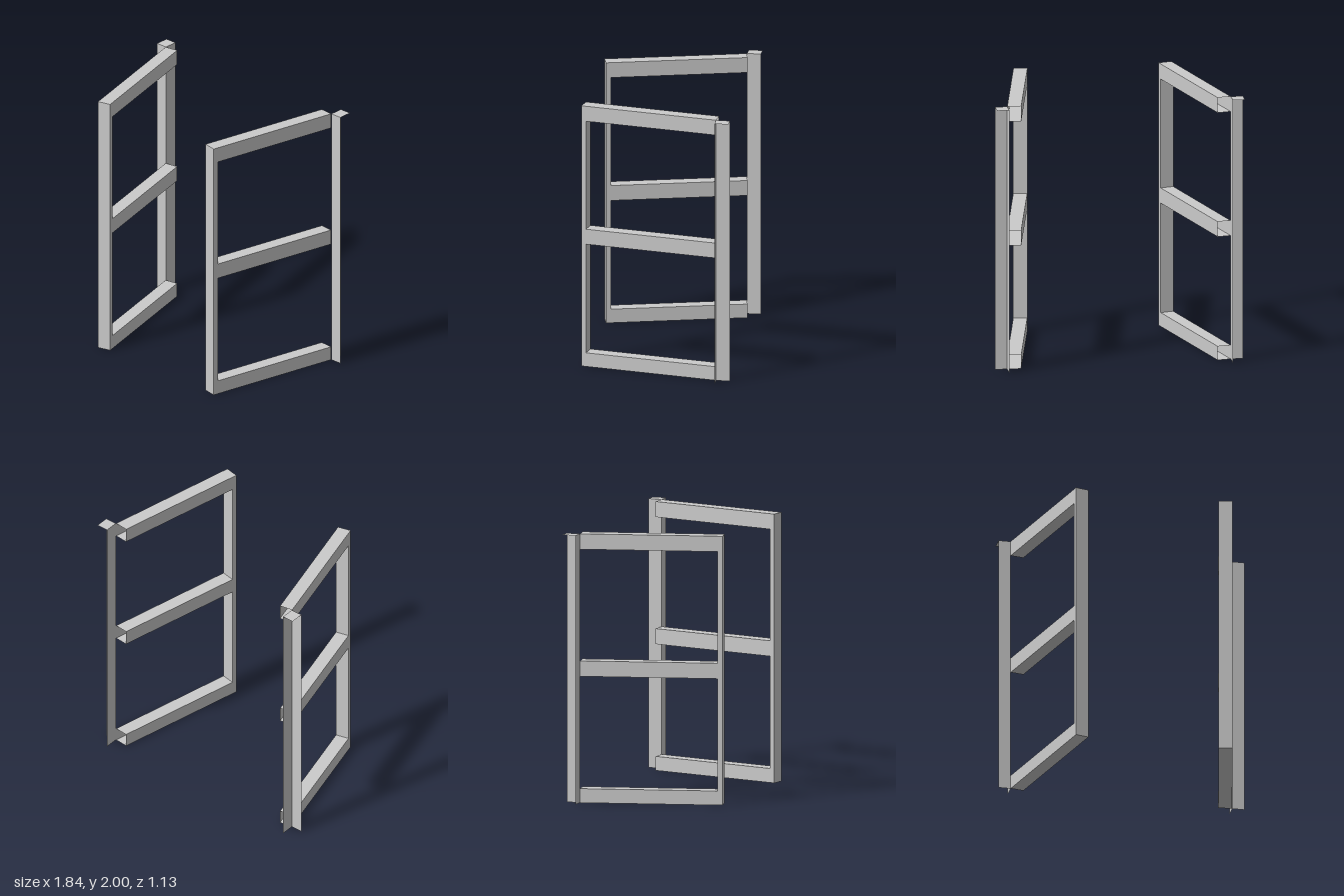
import * as THREE from 'three';

const material = new THREE.MeshStandardMaterial({ color: 0xcccccc, flatShading: true, side: THREE.DoubleSide });

// Upright prism over a plan quad [x, z]; sides names the edges that get a wall.
function prism(name, plan, y0, y1, sides, bottom = true) {
  // keep a consistent turn so that the walls face outward
  let area = 0;
  plan.forEach(([x, z], i) => {
    const [x2, z2] = plan[(i + 1) % 4];
    area += x * z2 - x2 * z;
  });
  const flip = area > 0;
  const pos = [];
  const quad = (a, b, c, d) => {
    const q = flip ? [a, c, b, a, d, c] : [a, b, c, a, c, d];
    q.forEach((p) => pos.push(...p));
  };
  const lo = plan.map(([x, z]) => [x, y0, z]);
  const hi = plan.map(([x, z]) => [x, y1, z]);
  sides.forEach((i) => {
    const j = (i + 1) % 4;
    quad(lo[i], lo[j], hi[j], hi[i]);
  });
  quad(hi[0], hi[1], hi[2], hi[3]);
  if (bottom) quad(lo[3], lo[2], lo[1], lo[0]);
  const geometry = new THREE.BufferGeometry();
  geometry.setAttribute('position', new THREE.Float32BufferAttribute(pos, 3));
  geometry.computeVertexNormals();
  const mesh = new THREE.Mesh(geometry, material);
  mesh.name = name;
  return mesh;
}

const mix = (a, b, t) => [a[0] + (b[0] - a[0]) * t, a[1] + (b[1] - a[1]) * t];

// One leaf: plan corners run back outer, back inner, front inner, front outer.
function leaf(name, [backOut, backIn, frontIn, frontOut], side) {
  const group = new THREE.Group();
  group.name = name;
  const t = 0.035;
  const stileIn = mix(frontIn, backIn, t);
  const stileOut = mix(frontOut, backOut, t);

  // thin upright at the free end
  group.add(prism('frontStile', [stileOut, stileIn, frontIn, frontOut], 0, 2, [0, 1, 2, 3]));

  // hollow rails, open at the hinge end
  [['bottomRail', 0, 0.105], ['middleRail', 0.94, 1.055], ['topRail', 1.885, 2]].forEach(([n, y0, y1]) =>
    group.add(prism(n, [backOut, backIn, stileIn, stileOut], y0, y1, [1, 3])));

  // hinge post: only its inner wall, front wall and cap
  const xi = 0.832 * side, xo = 0.922 * side, zb = -0.57, zf = -0.467;
  group.add(prism('hingePost', [[xi, zb], [xi, zf], [xo, zf], [xo, zb]], 0, 2, [0, 1], false));
  return group;
}

export function createModel() {
  const model = new THREE.Group();
  model.name = 'openDoubleGate';
  model.add(
    leaf('leftLeaf', [[0.83, -0.465], [0.728, -0.475], [0.511, 0.542], [0.612, 0.562]], 1),
    leaf('rightLeaf', [[-0.832, -0.465], [-0.733, -0.483], [-0.462, 0.527], [-0.56, 0.552]], -1),
  );
  return model;
}
